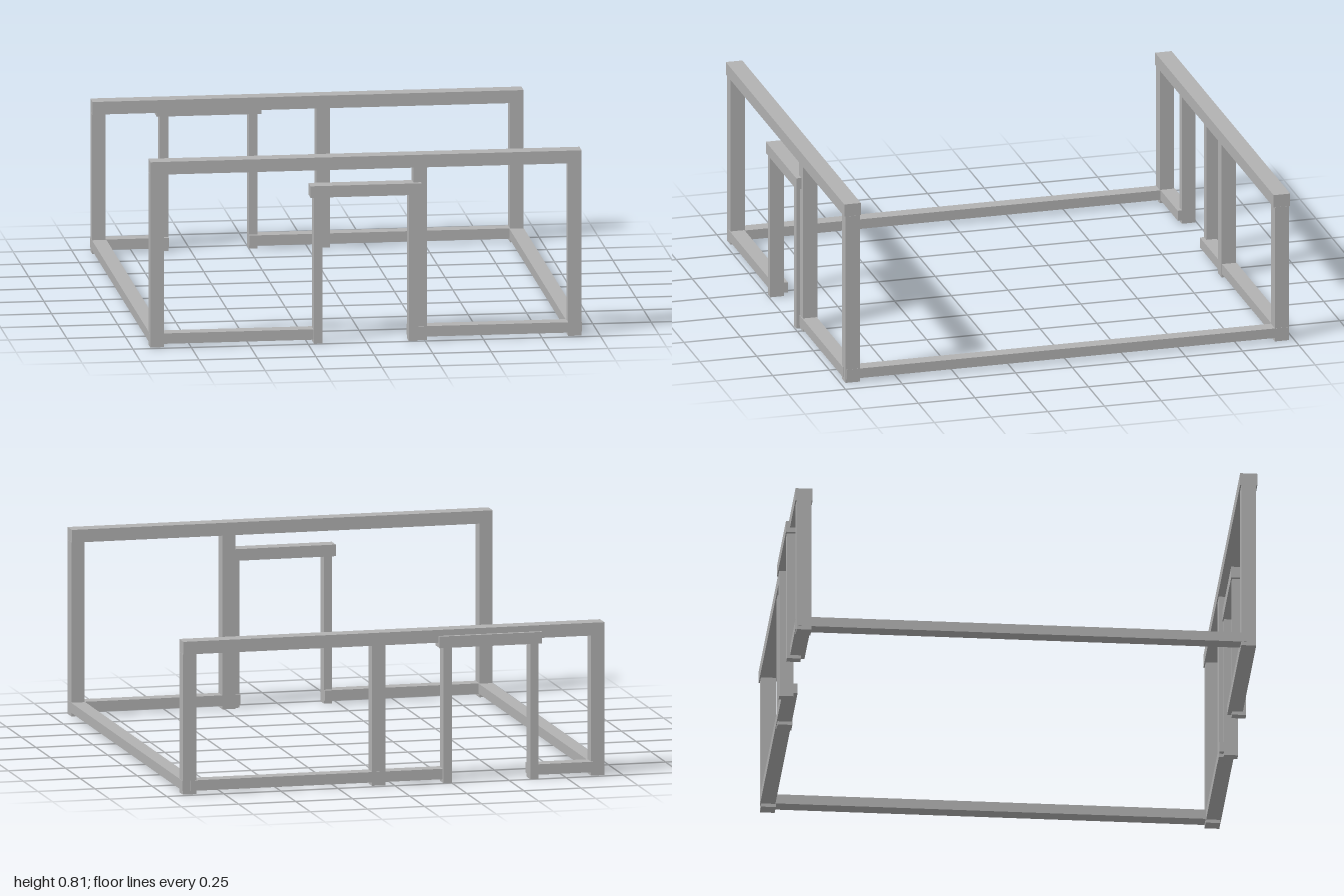
import * as THREE from 'three';

export function createModel() {
  const model = new THREE.Group();
  model.name = 'timberFrame';
  const grey = new THREE.MeshStandardMaterial({ color: 0xb2b2b2 });
  grey.name = 'plain grey';

  // Box given by its extents on each axis
  function bar(parent, name, [x0, x1], [y0, y1], [z0, z1]) {
    const mesh = new THREE.Mesh(new THREE.BoxGeometry(x1 - x0, y1 - y0, z1 - z0), grey);
    mesh.position.set((x0 + x1) / 2, (y0 + y1) / 2, (z0 + z1) / 2);
    mesh.name = name;
    parent.add(mesh);
  }

  // One end wall with its doorway; side is +1 for the front, -1 for the rear
  function wall(name, side, { beamY, studX, door, lintelY }) {
    const group = new THREE.Group();
    group.name = name;
    const depth = (inner, outer) => (side > 0 ? [inner, outer] : [-outer, -inner]);
    const [d0, d1] = door;

    bar(group, 'topBeam', [-0.922, 0.922], [beamY, beamY + 0.055], depth(0.91, 0.983));
    for (const x of [-0.894, studX, 0.894]) {
      bar(group, 'post', [x - 0.029, x + 0.029], [0, beamY], depth(0.915, 0.978));
    }

    // Sill, broken by the doorway
    bar(group, 'sill', [-0.89, d0 + 0.036], [0.015, 0.06], depth(0.917, 0.981));
    bar(group, 'sill', [d1 - 0.036, 0.89], [0.015, 0.06], depth(0.917, 0.981));

    // Door frame
    bar(group, 'doorJamb', [d0, d0 + 0.036], [0, lintelY], depth(0.935, 0.995));
    bar(group, 'doorJamb', [d1 - 0.036, d1], [0, lintelY], depth(0.935, 0.995));
    bar(group, 'doorLintel', [d0 - 0.015, d1 + 0.018], [lintelY, lintelY + 0.05], depth(0.93, 1));
    model.add(group);
  }

  wall('frontWall', 1, { beamY: 0.75, studX: 0.232, door: [-0.225, 0.217], lintelY: 0.635 });
  wall('rearWall', -1, { beamY: 0.605, studX: 0.066, door: [-0.63, -0.214], lintelY: 0.584 });

  // Ground beams joining the two walls
  for (const side of [-1, 1]) {
    const x = side * 0.893;
    bar(model, 'sideSill', [x - 0.031, x + 0.031], [0.016, 0.059], [-0.975, 0.975]);
  }
  return model;
}
